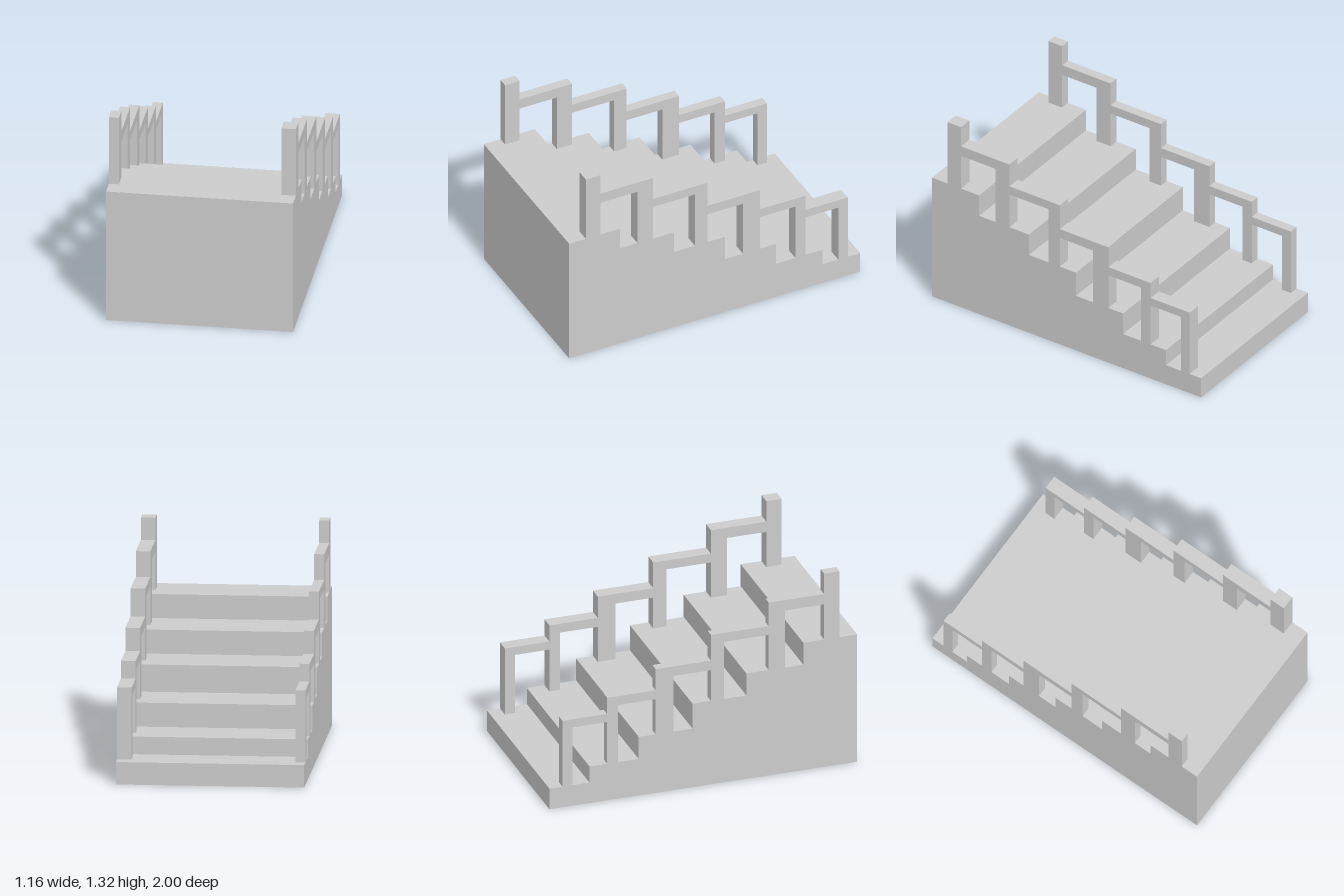
import * as THREE from 'three';

const material = new THREE.MeshStandardMaterial({ color: 0xcccccc, flatShading: true });

// Box given by its limits on each axis
function block(name, x0, x1, y0, y1, z0, z1) {
  const mesh = new THREE.Mesh(new THREE.BoxGeometry(x1 - x0, y1 - y0, z1 - z0), material);
  mesh.position.set((x0 + x1) / 2, (y0 + y1) / 2, (z0 + z1) / 2);
  mesh.name = name;
  return mesh;
}

// Each tread: height and the z where it drops to the next, from the top landing down
const treads = [[0.87, 0.65], [0.72, 0.28], [0.57, -0.07], [0.40, -0.42], [0.25, -0.74], [0.14, -1]];

// Each post: front z, back z, top height; it stands on the tread of the same index
const posts = [
  [0.885, 0.785, 1.32], [0.53, 0.425, 1.18], [0.135, 0.05, 1.02],
  [-0.195, -0.31, 0.845], [-0.555, -0.625, 0.70], [-0.85, -0.915, 0.59],
];

// Underside of the handrail that ends at each post
const undersides = [0, 1.11, 0.96, 0.78, 0.64, 0.535];

function createSteps() {
  // Side profile, extruded across the full width
  const shape = new THREE.Shape();
  shape.moveTo(-1, 0);
  let z = 1;
  for (const [y, end] of treads) {
    shape.lineTo(-z, y);
    shape.lineTo(-end, y);
    z = end;
  }
  shape.lineTo(1, 0);
  const geometry = new THREE.ExtrudeGeometry(shape, { depth: 1.16, bevelEnabled: false });
  geometry.translate(0, 0, -0.58).rotateY(Math.PI / 2);
  const mesh = new THREE.Mesh(geometry, material);
  mesh.name = 'steps';
  return mesh;
}

function createRailing(name, x0, x1) {
  const railing = new THREE.Group();
  railing.name = name;
  posts.forEach(([front, back, top], i) => {
    railing.add(block('post', x0, x1, treads[i][0], top, back, front));
    // Level rail from the previous post to this one
    if (i > 0) railing.add(block('handrail', x0, x1, undersides[i], top, front, posts[i - 1][1]));
  });
  return railing;
}

export function createModel() {
  const model = new THREE.Group();
  model.name = 'staircase';
  model.add(createSteps());
  model.add(createRailing('leftRailing', 0.49, 0.58));
  model.add(createRailing('rightRailing', -0.58, -0.518));
  return model;
}
